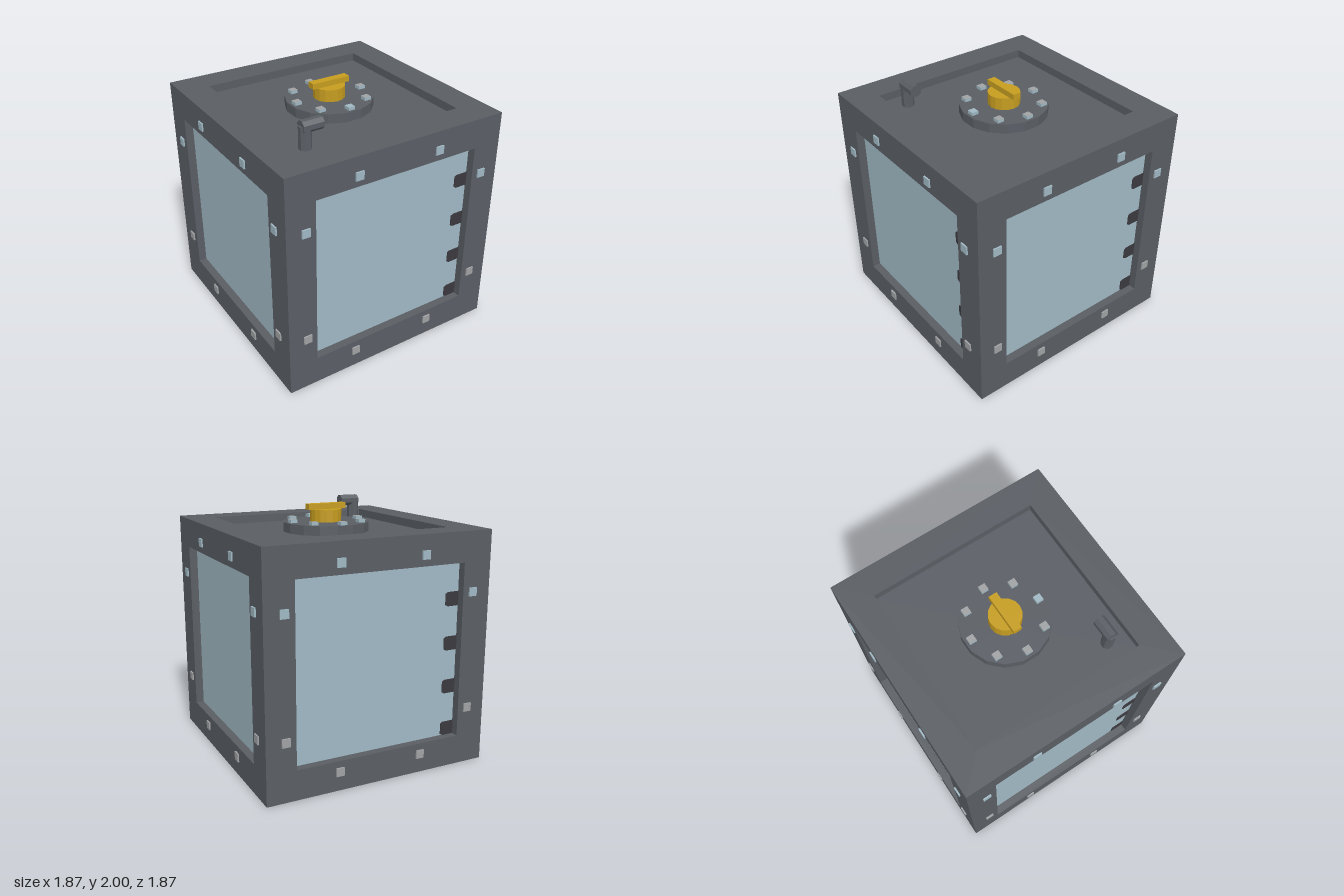
import * as THREE from 'three';

const HALF = 0.925;   // half the cube's edge
const OPEN = 0.69;    // half the recess opening
const DEPTH = 0.065;  // recess depth

function paint(name, color, options = {}) {
  const m = new THREE.MeshStandardMaterial({ color, flatShading: true, ...options });
  m.name = name;
  return m;
}

export function createModel() {
  const steel = paint('steel', 0x5a5e64);
  const glass = paint('paleBlue', 0xa0b9c4);
  const grey = paint('boltGrey', 0xa0a2a4);
  const dark = paint('charcoal', 0x3b393f);
  const gold = paint('gold', 0xc69d20);

  const model = new THREE.Group();
  const add = (parent, name, geometry, material, x = 0, y = 0, z = 0) => {
    const mesh = new THREE.Mesh(geometry, material);
    mesh.name = name;
    mesh.position.set(x, y, z);
    parent.add(mesh);
    return mesh;
  };

  // Shared geometry for the six faces
  const square = (Type, s) => new Type([[-s, -s], [s, -s], [s, s], [-s, s]].map(p => new THREE.Vector2(...p)));
  const ring = square(THREE.Shape, HALF);
  ring.holes.push(square(THREE.Path, OPEN));
  const ringGeometry = new THREE.ShapeGeometry(ring);
  const panelGeometry = new THREE.PlaneGeometry(2 * OPEN, 2 * OPEN);
  const wallGeometry = new THREE.PlaneGeometry(2 * OPEN, DEPTH);
  wallGeometry.rotateX(-Math.PI / 2).translate(0, -OPEN, HALF - DEPTH / 2);
  const boltGeometry = new THREE.BoxGeometry(0.066, 0.066, 0.03);

  // Level marks with clipped inner corners
  const mark = new THREE.Shape([[0.115, 0], [0.115, 0.11], [0.02, 0.11], [0, 0.098], [0, 0.012], [0.02, 0]]
    .map(p => new THREE.Vector2(...p)));
  const markGeometry = new THREE.ExtrudeGeometry(mark, { depth: 0.006, bevelEnabled: false });

  // A bordered face with a recessed panel, facing +z before rotation
  function makeFace(name, panelMaterial, rx, ry) {
    const face = new THREE.Group();
    face.name = name;
    face.position.y = HALF;
    face.rotation.set(rx, ry, 0);
    add(face, 'border', ringGeometry, steel, 0, 0, HALF);
    add(face, 'panel', panelGeometry, panelMaterial, 0, 0, HALF - DEPTH);
    for (let i = 0; i < 4; i++) {
      add(face, 'recessWall', wallGeometry, steel).rotation.z = i * Math.PI / 2;
    }
    model.add(face);
    return face;
  }

  // Four glazed sides with bolts and level marks
  ['frontSide', 'leftSide', 'backSide', 'rightSide'].forEach((name, i) => {
    const face = makeFace(name, glass, 0, i * Math.PI / 2);
    for (const sx of [-1, 1]) {
      for (const sy of [-1, 1]) {
        const material = sy > 0 ? glass : grey;
        add(face, 'bolt', boltGeometry, material, sx * 0.345, sy * 0.775, HALF - 0.003);
        add(face, 'bolt', boltGeometry, material, sx * 0.772, sy * 0.463, HALF - 0.003);
      }
    }
    for (let k = 0; k < 4; k++) {
      add(face, 'levelMark', markGeometry, dark, 0.575, -0.69 + k * 0.348, HALF - DEPTH);
    }
  });
  makeFace('topSide', steel, -Math.PI / 2, 0);
  makeFace('bottomSide', dark, Math.PI / 2, 0);

  // Round hatch with a ring of bolts
  const floor = 2 * HALF - DEPTH;
  add(model, 'hatch', new THREE.CylinderGeometry(0.343, 0.343, 0.075, 16).rotateY(Math.PI / 16),
    steel, 0, floor + 0.0375, 0);
  const lidBolt = new THREE.BoxGeometry(0.056, 0.035, 0.056);
  for (let i = 0; i < 8; i++) {
    const a = i * Math.PI / 4;
    const topMaterial = i === 0 ? glass : grey;
    add(model, 'hatchBolt', lidBolt, [glass, glass, topMaterial, glass, glass, glass],
      Math.sin(a) * 0.288, 1.868, Math.cos(a) * 0.288);
  }

  // Valve knob and grip
  add(model, 'valveKnob', new THREE.CylinderGeometry(0.125, 0.125, 0.1, 16), gold, 0, 1.906, 0);
  add(model, 'valveGrip', new THREE.BoxGeometry(0.322, 0.045, 0.066), gold, 0, 1.9775, 0);

  // Bent vent pipe
  const pipe = length => new THREE.CylinderGeometry(0.049, 0.049, length, 8).rotateY(Math.PI / 8);
  add(model, 'ventStem', pipe(0.175), steel, -0.532, floor + 0.0875, 0.53);
  add(model, 'ventSpout', pipe(0.165).rotateZ(Math.PI / 2), steel, -0.4825, 1.955, 0.53);

  return model;
}
